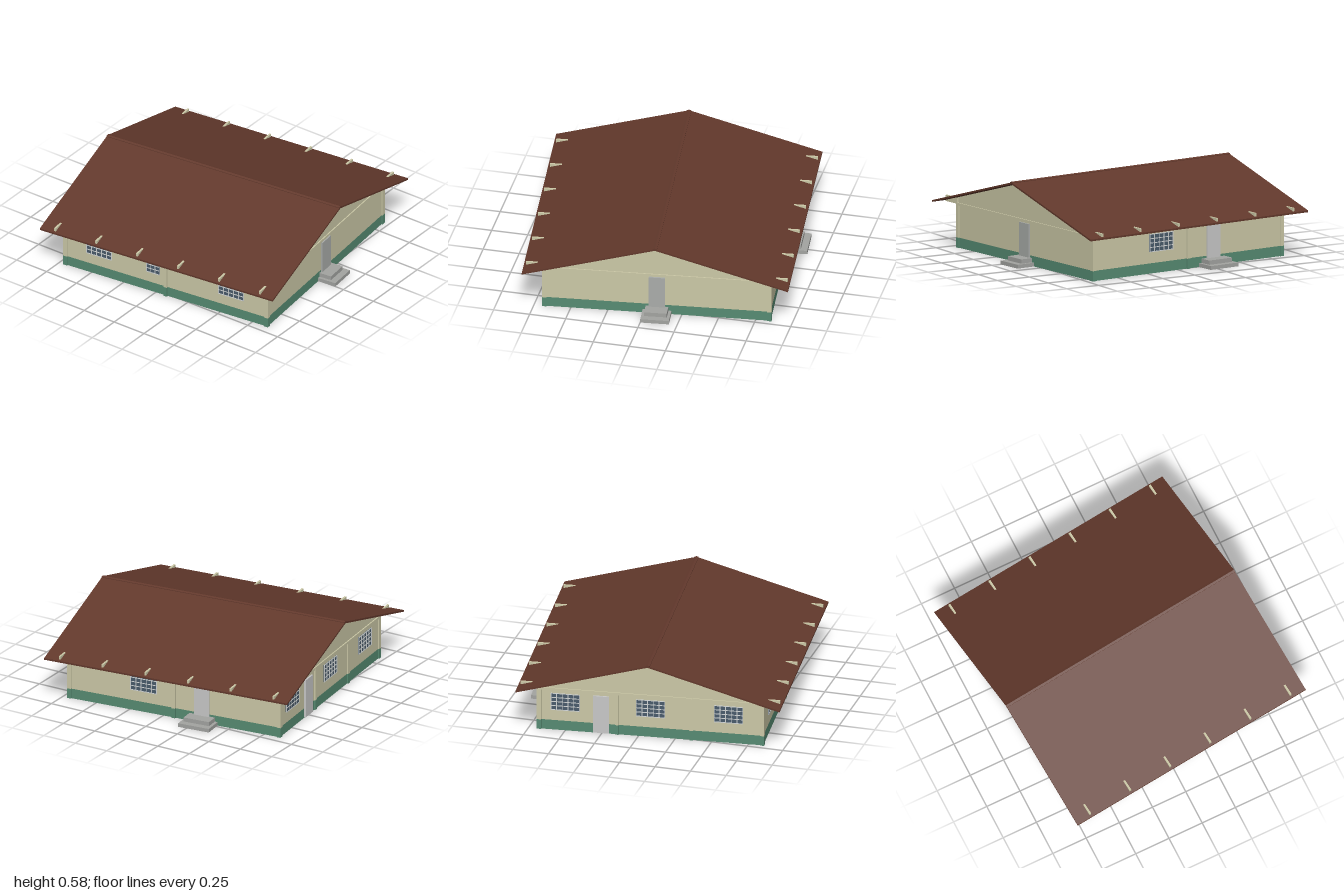
import * as THREE from 'three';

const mat = (name, color) => Object.assign(new THREE.MeshStandardMaterial({ color }), { name });

export function createModel() {
  const wall = mat('cream wall', 0xcdcaa8);
  const green = mat('green base', 0x578c73);
  const roofMat = mat('brown roof', 0x63392c);
  const greyDoor = mat('grey door', 0xabaeab);
  const paleDoor = mat('pale door', 0xcacaca);
  const stone = mat('step stone', 0xa4a5a2);
  const glass = mat('window glass', 0x4a5c6c);
  const barMat = mat('window bars', 0xd2d6d6);

  const model = new THREE.Group();
  model.name = 'house';
  model.rotation.y = THREE.MathUtils.degToRad(6);

  const HW = 0.772, HD = 0.792;      // wall half width and half depth
  const BASE = 0.07, RISE = 0.284;   // painted base height and roof slope

  const add = (name, geo, material, parent = model) => {
    const m = new THREE.Mesh(geo, material);
    m.name = name;
    parent.add(m);
    return m;
  };
  const box = (name, w, h, d, x, y, z, material, parent = model) => {
    const m = add(name, new THREE.BoxGeometry(w, h, d), material, parent);
    m.position.set(x, y, z);
    return m;
  };
  // Extrude an outline in x/y along z, centred on z = 0
  const slab = (name, pts, depth, material) => {
    const shape = new THREE.Shape(pts.map(p => new THREE.Vector2(...p)));
    const geo = new THREE.ExtrudeGeometry(shape, { depth, bevelEnabled: false });
    return add(name, geo.translate(0, 0, -depth / 2), material);
  };

  // Walls with gable ends on a green base
  box('base', HW * 2, BASE, HD * 2, 0, BASE / 2, 0, green);
  const eave = 0.563 - RISE * HW;
  slab('walls', [[-HW, BASE], [HW, BASE], [HW, eave], [0, 0.563], [-HW, eave]], HD * 2, wall);

  // Roof and ridge cap
  const RW = 0.905, RD = 1.82, drop = RISE * RW;
  slab('roof', [[-RW, 0.563 - drop], [0, 0.563], [RW, 0.563 - drop],
    [RW, 0.575 - drop], [0, 0.575], [-RW, 0.575 - drop]], RD, roofMat);
  slab('ridgeCap', [[-0.015, 0.566], [0.015, 0.566], [0.015, 0.575], [0, 0.58], [-0.015, 0.575]], RD, roofMat);

  // Columns, painted green at the foot
  const column = (x, z, w, d) => {
    box('columnFoot', w, BASE, d, x, BASE / 2, z, green);
    box('column', w, 0.305 - BASE, d, x, (0.305 + BASE) / 2, z, wall);
  };
  for (const sx of [-1, 1]) {
    for (const sz of [-1, 1]) column(sx * 0.765, sz * 0.785, 0.03, 0.03);
    column(sx * 0.772, 0, 0.026, 0.024);
  }
  for (const x of [0.23, -0.28]) column(x, -0.79, 0.024, 0.022);

  // Tie beams under the gables
  for (const sz of [-1, 1]) box('gableBeam', 1.56, 0.018, 0.016, 0, 0.3, sz * 0.792, wall);

  // Beam ends at the eaves
  for (const sx of [-1, 1])
    for (let i = 0; i < 6; i++)
      box('beamEnd', 0.13, 0.042, 0.014, sx * 0.825, 0.324, -0.8 + i * 0.32, wall);

  // Local frame on a wall face: +z points outward, x runs along the wall
  const face = (name, side, along) => {
    const g = new THREE.Group();
    g.name = name;
    if (side === 'front') g.position.set(along, 0, HD);
    if (side === 'back') { g.position.set(along, 0, -HD); g.rotation.y = Math.PI; }
    if (side === 'left') { g.position.set(HW, 0, along); g.rotation.y = Math.PI / 2; }
    if (side === 'right') { g.position.set(-HW, 0, along); g.rotation.y = -Math.PI / 2; }
    model.add(g);
    return g;
  };

  // Barred windows
  const windowAt = (side, along, w = 0.195, cols = 5) => {
    const g = face('window', side, along), h = 0.12, y = 0.21, rows = 4;
    box('pane', w, h, 0.006, 0, y, 0.003, glass, g);
    for (let i = 0; i <= cols; i++)
      box('uprightBar', 0.005, h, 0.004, (i / cols - 0.5) * w, y, 0.007, barMat, g);
    for (let i = 0; i <= rows; i++)
      box('crossBar', w, 0.005, 0.004, 0, y + (i / rows - 0.5) * h, 0.007, barMat, g);
  };
  for (const x of [0.585, 0, -0.535]) windowAt('back', x);
  for (const z of [-0.52, 0.51]) windowAt('right', z);
  windowAt('right', -0.1, 0.1, 3);
  windowAt('left', 0.225);

  // Doors, two of them with steps
  const doorAt = (side, along, y0, y1, material, stepW) => {
    const g = face('doorway', side, along);
    box('door', 0.11, y1 - y0, 0.012, 0, (y0 + y1) / 2, 0.006, material, g);
    if (!stepW) return;
    box('lowerStep', stepW, 0.026, 0.135, 0, 0.013, 0.0675, stone, g);
    box('upperStep', stepW - 0.04, 0.029, 0.09, 0, 0.0405, 0.045, stone, g);
  };
  doorAt('front', 0, 0.055, 0.285, greyDoor, 0.195);
  doorAt('left', -0.21, 0.055, 0.295, paleDoor, 0.23);
  doorAt('back', 0.34, 0.005, 0.275, paleDoor, 0);

  const root = new THREE.Group();
  root.name = 'model';
  root.add(model);
  return root;
}
